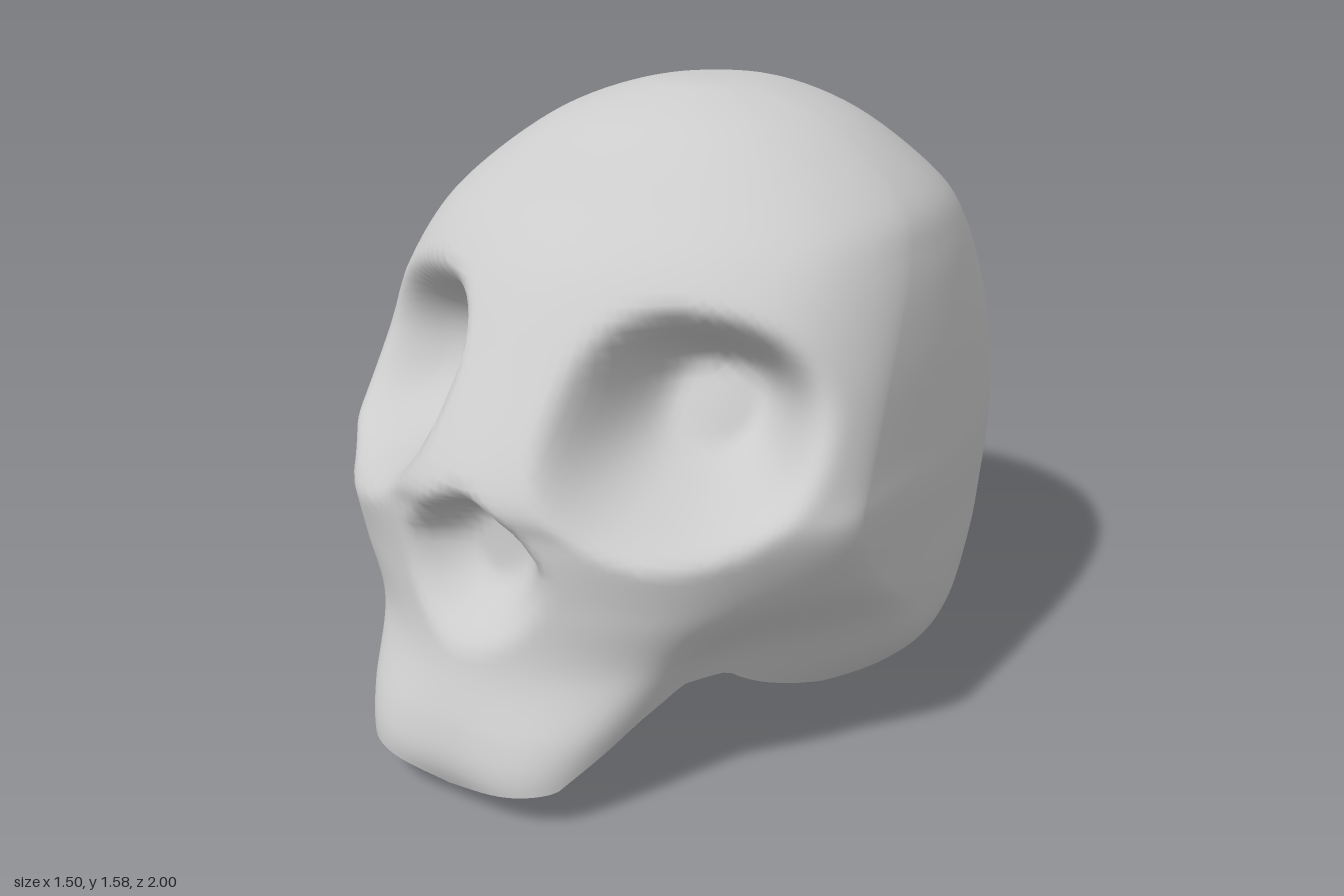
import * as THREE from 'three';
import { mergeVertices } from 'three/addons/utils/BufferGeometryUtils.js';

const HALF = 84;        // columns from the back of the head to the front
const COLS = HALF * 2;
const SIDE = 0.4;       // column fraction at which the widest point sits

// Horizontal half sections, crown to base:
// y, back z, half width, z of widest point, cheek x z, muzzle corner x z, front z
const SECTIONS = [
  [1.575, -0.1, 0, -0.1, 0, -0.1, 0, -0.1, -0.1],
  [1.56, -0.33, 0.18, -0.12, 0.14, -0.03, 0.07, 0.02, 0.03],
  [1.48, -0.52, 0.4, -0.1, 0.34, 0.08, 0.2, 0.19, 0.23],
  [1.33, -0.72, 0.6, -0.05, 0.52, 0.2, 0.32, 0.35, 0.41],
  [1.2, -0.85, 0.67, 0.02, 0.59, 0.31, 0.36, 0.48, 0.57],
  [1.0, -0.945, 0.715, 0.18, 0.63, 0.43, 0.4, 0.62, 0.73],
  [0.77, -0.99, 0.74, 0.32, 0.64, 0.55, 0.4, 0.77, 0.9],
  [0.66, -0.997, 0.75, 0.37, 0.63, 0.59, 0.41, 0.8, 0.89],
  [0.5, -0.97, 0.735, 0.25, 0.61, 0.53, 0.42, 0.77, 0.9],
  [0.35, -0.91, 0.72, 0.05, 0.5, 0.5, 0.37, 0.78, 0.93],
  [0.2, -0.81, 0.69, -0.08, 0.44, 0.5, 0.31, 0.89, 0.985],
  [0.1, -0.73, 0.61, -0.15, 0.4, 0.5, 0.28, 0.93, 0.995],
  [0.0, -0.58, 0.43, -0.15, 0.36, 0.5, 0.27, 0.92, 0.95],
];

// Where the outer surface ends: column fraction, section index
const RIM = [[0, 12], [0.22, 11.7], [0.4, 11], [0.5, 10.6], [0.6, 9.5], [0.67, 9.4],
  [0.72, 9.8], [0.8, 11], [1, 11.4]];

const { lerp, smoothstep, clamp } = THREE.MathUtils;

function cubic(a, b, c, d, t) {
  const m = (c - a) / 2, n = (d - b) / 2;
  return b + t * (m + t * (3 * (c - b) - 2 * m - n + t * (2 * (b - c) + m + n)));
}

function sectionAt(t) {
  const last = SECTIONS.length - 1;
  const i = Math.min(Math.floor(t), last - 1);
  const row = (k) => SECTIONS[clamp(k, 0, last)];
  return row(i).map((v, k) => cubic(row(i - 1)[k], v, row(i + 1)[k], row(i + 2)[k], t - i));
}

function rimIndex(u) {
  let k = 0;
  while (k < RIM.length - 2 && u > RIM[k + 1][0]) k++;
  const [a, b] = [RIM[k], RIM[k + 1]];
  return lerp(a[1], b[1], (u - a[0]) / (b[0] - a[0]));
}

// Point on the plain head, u running from back (0) to front (1)
function headPoint(u, t) {
  const [y, zBack, w, zSide, mx, mz, cx, cz, zFront] = sectionAt(t);
  if (u <= SIDE) {
    // Rounder towards the crown and the base, fuller in the middle
    const a = (u / SIDE) * Math.PI / 2;
    const e = 2 / (2.05 + 0.65 * smoothstep(y, 0.1, 0.6) * (1 - smoothstep(y, 0.75, 1.45)));
    return new THREE.Vector3(
      w * Math.pow(Math.sin(a), e), y,
      zSide - (zSide - zBack) * Math.pow(Math.max(0, Math.cos(a)), e));
  }
  const xs = [mx, w, mx, cx, 0, -cx];
  const zs = [2 * zSide - mz, zSide, mz, cz, zFront, cz];
  const s = ((u - SIDE) / (1 - SIDE)) * 3;
  const k = Math.min(Math.floor(s), 2);
  const along = (v) => cubic(v[k], v[k + 1], v[k + 2], v[k + 3], s - k);
  return new THREE.Vector3(Math.max(0, along(xs)), y, along(zs));
}

// Press the eye sockets and the nose opening into the face
function carve(p) {
  if (p.z < 0.15) return p;
  const { x, y } = p;
  const ex = (x - 0.42) / 0.265;
  const ey = (y - 0.895 + 0.15 * (x - 0.42)) / 0.25;
  const eye = Math.pow(Math.abs(ex) ** 2.3 + Math.abs(ey) ** 2.3, 1 / 2.3);
  const socket = 0.34 * (1 - smoothstep(eye, 0.3, 1.08));

  // Pointed at the top, with a floor that runs out gently below
  const nx = x / (0.21 - 0.6 * Math.max(0, y - 0.6));
  const ny = (y - 0.6) / (y > 0.6 ? 0.17 : 0.22);
  const nose = 0.13 * (1 - smoothstep(Math.hypot(nx, ny), 0.35, 1.05));

  p.x -= socket * 0.28;
  p.y -= socket * 0.05;
  p.z -= socket * 0.95 + nose;
  return p;
}

// Closed rings of points, mirrored across x = 0
function ringSurface(rows, pointAt) {
  const pos = [], index = [];
  for (let j = 0; j <= rows; j++) {
    for (let i = 0; i < COLS; i++) {
      const mirrored = i > HALF;
      const p = pointAt((mirrored ? COLS - i : i) / HALF, j);
      pos.push(mirrored ? -p.x : p.x, p.y, p.z);
    }
  }
  for (let j = 0; j < rows; j++) {
    for (let i = 0; i < COLS; i++) {
      const n = (i + 1) % COLS;
      const a = j * COLS + i, b = j * COLS + n, c = a + COLS, d = b + COLS;
      index.push(a, b, c, b, d, c);
    }
  }
  let geo = new THREE.BufferGeometry();
  geo.setAttribute('position', new THREE.Float32BufferAttribute(pos, 3));
  geo.setIndex(index);
  geo = mergeVertices(geo, 1e-5);
  geo.computeVertexNormals();
  return geo;
}

export function createModel() {
  const group = new THREE.Group();
  group.name = 'skull';
  const bone = new THREE.MeshStandardMaterial({ color: 0xcccccc, side: THREE.DoubleSide });
  const add = (name, geometry) => {
    const mesh = new THREE.Mesh(geometry, bone);
    mesh.name = name;
    group.add(mesh);
  };

  // Cranium, face and upper jaw
  const rows = 76;
  add('craniumAndFace', ringSurface(rows, (u, j) => carve(headPoint(u, (j / rows) * rimIndex(u)))));

  // Lip of the base and palate, then a shallow sloping hollow under the head
  const lipRows = 8, hollowRows = 12;
  add('baseHollow', ringSurface(lipRows + hollowRows, (u, j) => {
    const rim = headPoint(u, rimIndex(u));
    const jaw = smoothstep(rim.z, 0.55, 0.85);
    const inner = new THREE.Vector3(
      rim.x * 0.82,
      lerp(rim.y + 0.02, 0.29, jaw),
      Math.min(rim.z * 0.82, lerp(0.5, 0.61, jaw)));
    if (j <= lipRows) {
      const k = j / lipRows;
      const p = rim.clone().lerp(inner, k);
      p.y = lerp(rim.y, inner.y, smoothstep(k, 0.2, 0.7));
      return p;
    }
    const s = (j - lipRows) / hollowRows;
    const p = inner.clone().lerp(new THREE.Vector3(0, 0.22, 0), s);
    p.y += 0.07 * Math.sin(Math.PI * Math.sqrt(s));
    return p;
  }));

  return group;
}
